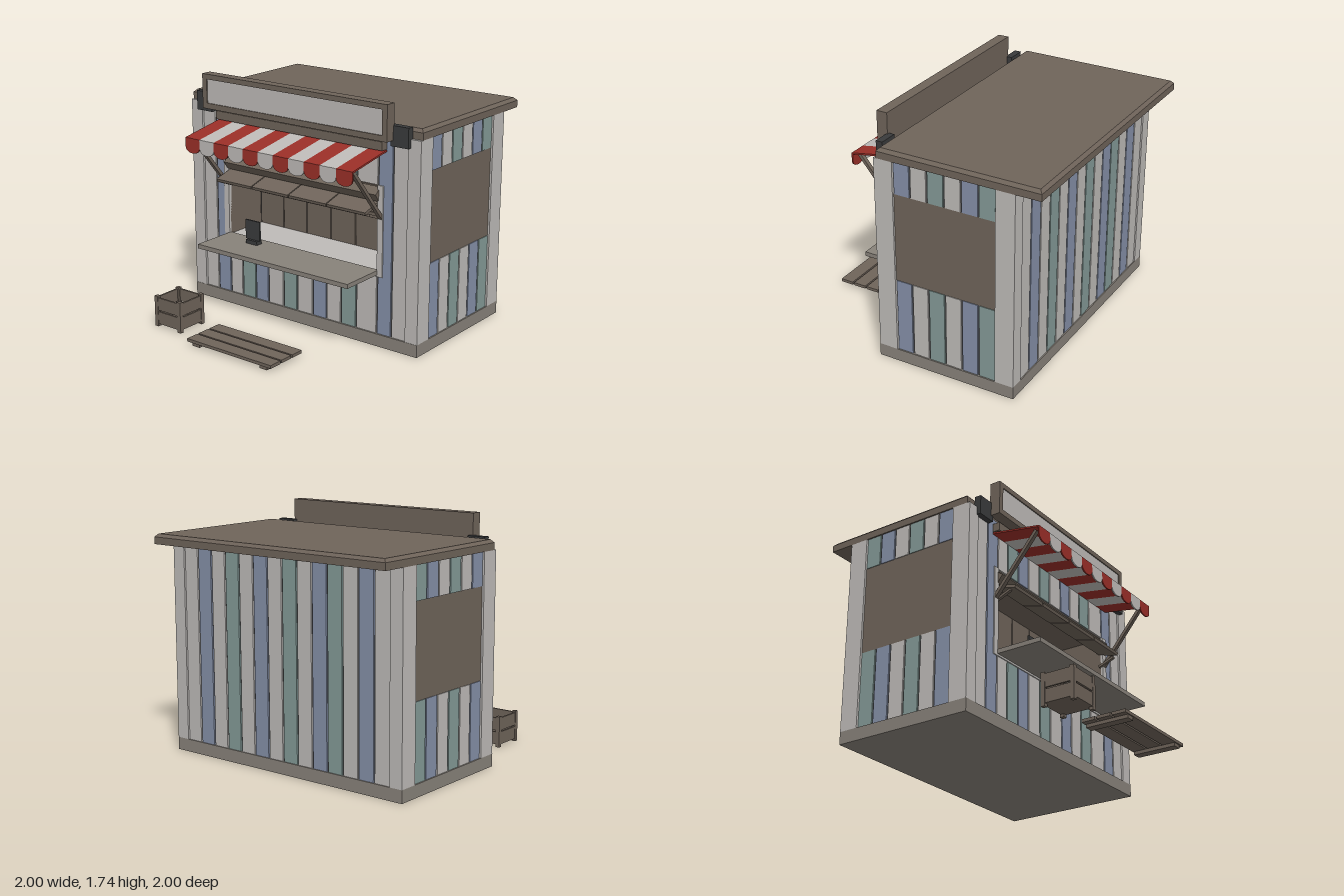
import * as THREE from 'three';

const mat = (name, color, side = THREE.FrontSide) => {
  const m = new THREE.MeshStandardMaterial({ color, side });
  m.name = name;
  return m;
};

export function createModel() {
  const root = new THREE.Group();
  root.name = 'marketKiosk';
  const white = mat('offWhite', 0xbebbb8), blue = mat('dustyBlue', 0x8590a8), teal = mat('dustyTeal', 0x849a97);
  const brown = mat('woodBrown', 0x6f645a), stone = mat('counterGrey', 0x88827a), dark = mat('charcoal', 0x3a3b3c);
  const seam = mat('seamGrey', 0x5c5b5c), olive = mat('olive', 0x776b48);
  const red = mat('awningRed', 0x9a2f28, THREE.DoubleSide), cloth = mat('awningWhite', 0xbebbb8, THREE.DoubleSide);
  const colours = { W: white, B: blue, T: teal };

  const group = (name) => {
    const g = new THREE.Group();
    g.name = name;
    root.add(g);
    return g;
  };
  // Box given by its extents along each axis
  const box = (parent, name, m, [x0, x1], [y0, y1], [z0, z1]) => {
    const mesh = new THREE.Mesh(new THREE.BoxGeometry(x1 - x0, y1 - y0, z1 - z0), m);
    mesh.position.set((x0 + x1) / 2, (y0 + y1) / 2, (z0 + z1) / 2);
    mesh.name = name;
    parent.add(mesh);
    return mesh;
  };
  // Bar of given width and thickness between two points of the y-z plane
  const bar = (parent, name, m, x, width, [y0, z0], [y1, z1], thick) => {
    const mesh = new THREE.Mesh(new THREE.BoxGeometry(width, thick, Math.hypot(y1 - y0, z1 - z0)), m);
    mesh.position.set(x, (y0 + y1) / 2, (z0 + z1) / 2);
    mesh.rotation.x = -Math.atan2(y1 - y0, z1 - z0);
    mesh.name = name;
    parent.add(mesh);
    return mesh;
  };

  // Plinth and wall core around the serving recess
  box(root, 'plinth', stone, [-1, 1], [0, 0.09], [-0.82, 0.222]);
  const core = group('wallCore');
  const top = 1.505, winX = 0.66, winY0 = 0.54, winY1 = 1.15, backZ = -0.14;
  box(core, 'rearCore', seam, [-0.98, 0.98], [0.09, top], [-0.8, backZ - 0.01]);
  box(core, 'lowerCore', seam, [-0.98, 0.98], [0.09, winY0 - 0.01], [backZ - 0.01, 0.2]);
  box(core, 'upperCore', seam, [-0.98, 0.98], [winY1, top], [backZ - 0.01, 0.2]);
  for (const s of [-1, 1]) {
    const xs = s < 0 ? [-0.98, -winX - 0.01] : [winX + 0.01, 0.98];
    box(core, 'sideCore', seam, xs, [winY0 - 0.01, winY1], [backZ - 0.01, 0.2]);
  }

  // Corner posts
  const posts = group('cornerPosts');
  for (const s of [-1, 1]) {
    const xs = s < 0 ? [-1, -0.9] : [0.9, 1];
    box(posts, 'frontPost', white, xs, [0.09, top], [0.08, 0.22]);
    box(posts, 'backPost', white, xs, [0.09, top], [-0.82, -0.68]);
  }

  // Vertical planks on front and back
  const planks = group('planks');
  const edges = [-0.9, -0.78, -0.66, -0.545, -0.42, -0.3, -0.16, -0.035, 0.105, 0.228, 0.355, 0.485, 0.66, 0.78, 0.9];
  const gap = 0.006;
  [...'WBWTBWTWBWTWBW'].forEach((c, i) => {
    const xs = [edges[i] + gap, edges[i + 1] - gap], m = colours[c];
    const inWindow = edges[i] >= -winX && edges[i + 1] <= winX;
    const spans = inWindow ? [[0.09, winY0 - 0.03], [winY1, top]] : [[0.09, top]];
    for (const ys of spans) box(planks, 'frontPlank', m, xs, ys, [0.19, 0.21]);
    const bx = [-0.9 + i * 1.8 / 14 + gap, -0.9 + (i + 1) * 1.8 / 14 - gap];
    box(planks, 'backPlank', m, bx, [0.09, top], [-0.812, -0.79]);
  });

  // Side planks above and below the side shutters
  for (const s of [-1, 1]) {
    const side = (a, b) => (s < 0 ? [-b, -a] : [a, b]);
    [...'BWTWBT'].forEach((c, i) => {
      const z1 = 0.08 - i * 0.1267;
      for (const ys of [[0.09, 0.63], [1.275, top]])
        box(planks, 'sidePlank', colours[c], side(0.97, 0.99), ys, [z1 - 0.1267 + gap, z1 - gap]);
    });
    box(root, 'sideShutter', brown, side(0.97, 0.985), [0.63, 1.275], [-0.68, 0.08]);
  }

  // Roof slab with a chamfered upper edge
  box(root, 'roofSlab', brown, [-1, 1], [1.505, 1.555], [-1, 0.2]);
  const cap = box(root, 'roofCap', brown, [-1, 1], [1.555, 1.577], [-1, 0.2]);
  const p = cap.geometry.attributes.position;
  for (let i = 0; i < p.count; i++)
    if (p.getY(i) > 0) p.setXYZ(i, p.getX(i) * 0.978, p.getY(i), p.getZ(i) * 0.965);
  cap.geometry.computeVertexNormals();

  // Recess lining, boarded rear panel and window trim
  const win = group('servingWindow');
  const dx = winX * 2 / 6;
  for (let i = 0; i < 6; i++)
    box(win, 'rearBoard', brown, [-winX + i * dx + 0.004, -winX + (i + 1) * dx - 0.004], [winY0, winY1], [backZ - 0.01, backZ]);
  box(win, 'rearRail', brown, [-winX, winX], [0.78, 0.82], [backZ, backZ + 0.012]);
  box(win, 'recessFloor', white, [-winX, winX], [winY0 - 0.01, winY0], [backZ, 0.21]);
  box(win, 'recessCeiling', brown, [-winX, winX], [winY1 - 0.01, winY1], [backZ, 0.2]);
  for (const s of [-1, 1]) {
    const side = (a, b) => (s < 0 ? [-b, -a] : [a, b]);
    box(win, 'recessSide', brown, side(winX, winX + 0.01), [winY0, winY1], [backZ, 0.2]);
    box(win, 'windowTrim', white, side(winX, 0.705), [0.505, winY1], [0.19, 0.218]);
  }
  box(win, 'sillTrim', white, [-winX, winX], [0.505, winY0], [0.19, 0.218]);

  // Counter with card terminal
  const counter = group('counter');
  box(counter, 'counterTop', stone, [-0.665, 0.665], [0.518, 0.55], [0.2, 0.555]);
  box(counter, 'terminalBase', dark, [-0.41, -0.31], [0.55, 0.578], [0.27, 0.325]);
  box(counter, 'terminalScreen', dark, [-0.43, -0.3], [0.578, 0.72], [0.291, 0.304]);

  // Tilted hanging shelf, its brackets and the light bar behind
  const shelf = group('hangingShelf');
  for (let i = 0; i < 4; i++)
    bar(shelf, 'shelfPanel', brown, -0.495 + i * 0.33, 0.322, [1.025, 0.19], [0.98, 0.35], 0.022);
  for (const s of [-1, 1]) bar(shelf, 'shelfBracket', brown, s * 0.655, 0.022, [0.915, 0.19], [0.965, 0.315], 0.018);
  const lamp = bar(shelf, 'lightBar', brown, 0, 1.34, [1.13, 0.19], [1.07, 0.23], 0.07);
  lamp.rotation.x = 0.62;
  lamp.position.set(0, 1.085, 0.205);
  const strip = new THREE.Mesh(new THREE.BoxGeometry(1.33, 0.066, 0.006), olive);
  strip.name = 'lightStrip';
  strip.position.set(0, 0, 0.026);
  lamp.add(strip);

  // Striped awning with scalloped valance
  const awning = group('awning');
  const n = 11, w = 1.45 / n;
  const scallop = new THREE.Shape();
  scallop.moveTo(-w / 2, 0);
  scallop.lineTo(-w / 2, -0.06);
  scallop.bezierCurveTo(-w / 2, -0.122, w / 2, -0.122, w / 2, -0.06);
  scallop.lineTo(w / 2, 0);
  scallop.closePath();
  const scallopGeo = new THREE.ExtrudeGeometry(scallop, { depth: 0.01, bevelEnabled: false, curveSegments: 10 });
  for (let i = 0; i < n; i++) {
    const x = -0.725 + (i + 0.5) * w, m = i % 2 ? cloth : red;
    bar(awning, 'canopyStripe', m, x, w, [1.397, 0.2], [1.33, 0.588], 0.012);
    const flap = new THREE.Mesh(scallopGeo, m);
    flap.name = 'valanceFlap';
    flap.position.set(x, 1.335, 0.58);
    awning.add(flap);
  }
  box(awning, 'awningHousing', brown, [-0.725, 0.725], [1.405, 1.465], [0.2, 0.265]);
  for (const s of [-1, 1]) bar(awning, 'awningArm', brown, s * 0.685, 0.03, [0.925, 0.21], [1.325, 0.545], 0.024);

  // Blank sign board with raised frame, and lamp boxes beside it
  const sign = group('signBoard');
  box(sign, 'signBack', brown, [-0.8, 0.8], [1.485, 1.735], [0.24, 0.308]);
  box(sign, 'signFace', white, [-0.76, 0.76], [1.525, 1.698], [0.308, 0.312]);
  box(sign, 'frameTop', brown, [-0.8, 0.8], [1.698, 1.735], [0.308, 0.32]);
  box(sign, 'frameBottom', brown, [-0.8, 0.8], [1.485, 1.525], [0.308, 0.32]);
  for (const s of [-1, 1]) {
    box(sign, 'frameSide', brown, s < 0 ? [-0.8, -0.76] : [0.76, 0.8], [1.525, 1.698], [0.308, 0.32]);
    box(sign, 'lampBox', dark, s < 0 ? [-0.92, -0.78] : [0.78, 0.92], [1.445, 1.585], [0.2, 0.25]);
  }

  // Open slatted crate
  const crate = group('crate');
  crate.position.set(-0.667, 0, 0.762);
  const h = 0.123, t = 0.03;
  for (const sx of [-1, 1]) for (const sz of [-1, 1]) {
    const cx = sx * (h - t / 2), cz = sz * (h - t / 2);
    box(crate, 'cratePost', brown, [cx - t / 2, cx + t / 2], [0, 0.228], [cz - t / 2, cz + t / 2]);
  }
  for (const ys of [[0.02, 0.112], [0.124, 0.217]]) for (const s of [-1, 1]) {
    const d = s * (h - 0.01);
    box(crate, 'crateSlat', brown, [-h + 0.005, h - 0.005], ys, [d - 0.007, d + 0.007]);
    box(crate, 'crateSlat', brown, [d - 0.007, d + 0.007], ys, [-h + 0.005, h - 0.005]);
  }
  box(crate, 'crateFloor', brown, [-h + 0.01, h - 0.01], [0.02, 0.035], [-h + 0.01, h - 0.01]);

  // Low pallet
  const pallet = group('pallet');
  for (const z of [0.672, 0.785, 0.898]) box(pallet, 'palletSlat', brown, [-0.375, 0.372], [0.024, 0.046], [z, z + 0.1]);
  for (const x of [-0.3, 0.3]) box(pallet, 'palletRunner', brown, [x - 0.032, x + 0.032], [0, 0.024], [0.68, 0.99]);

  return root;
}
